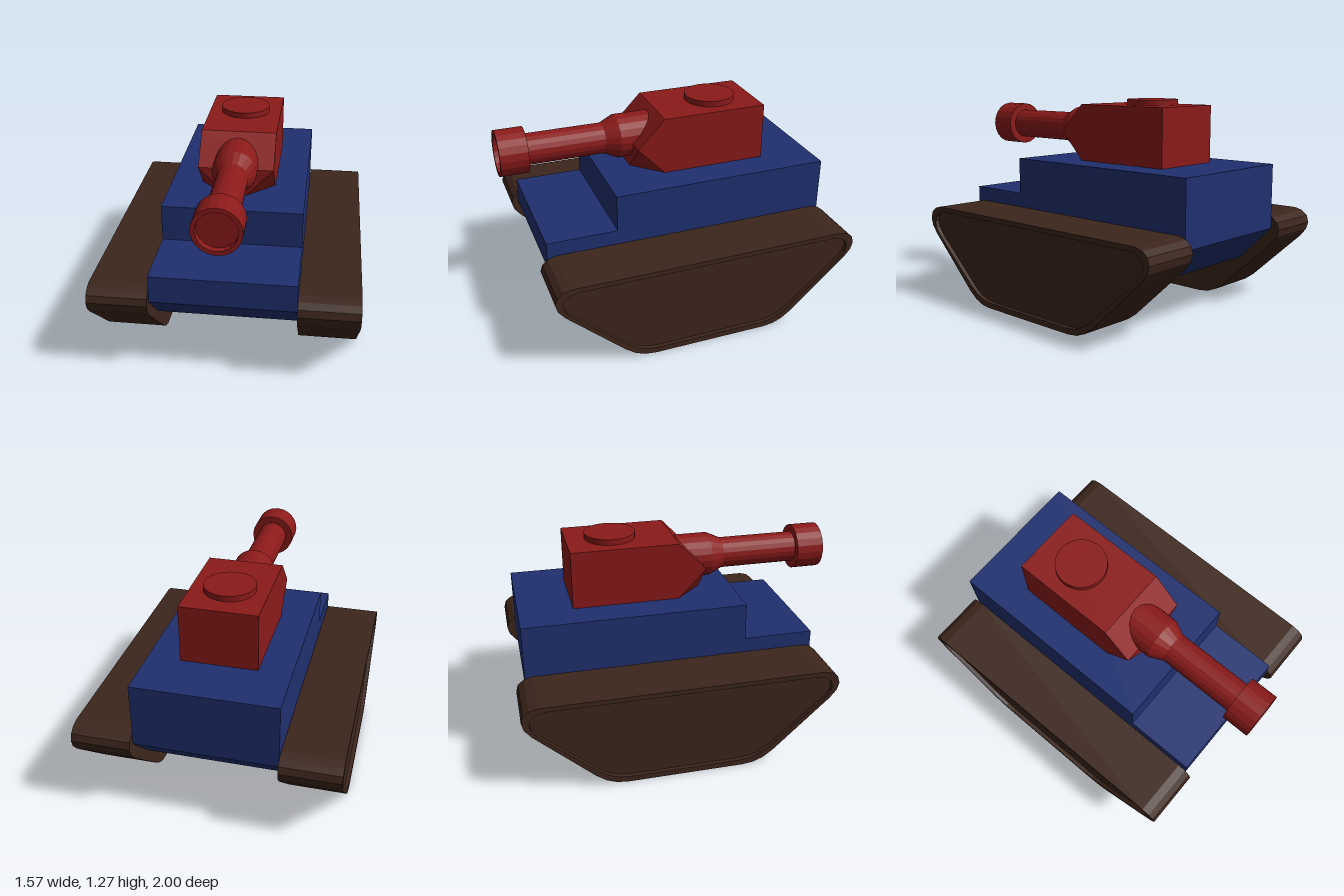
import * as THREE from 'three';
import { ConvexGeometry } from 'three/addons/geometries/ConvexGeometry.js';

const paint = (color) => new THREE.MeshStandardMaterial({ color, flatShading: true });
const RED = paint(0x8b1a1a), BLUE = paint(0x1f3070), BROWN = paint(0x3d261c);

// Extrude a side profile of [z, y] points across x, centred on x = 0
function sideExtrude(points, width, hole) {
  const toVec = ([z, y]) => new THREE.Vector2(-z, y);
  const shape = new THREE.Shape(points.map(toVec));
  if (hole) shape.holes.push(new THREE.Path(hole.map(toVec)));
  const geo = new THREE.ExtrudeGeometry(shape, { depth: width, bevelEnabled: false });
  return geo.translate(0, 0, -width / 2).rotateY(Math.PI / 2);
}

function add(parent, name, geometry, material, x = 0, y = 0, z = 0) {
  const mesh = new THREE.Mesh(geometry, material);
  mesh.name = name;
  mesh.position.set(x, y, z);
  parent.add(mesh);
  return mesh;
}

export function createModel() {
  const model = new THREE.Group();
  model.name = 'tank';

  // Hull with a stepped deck and sloped chin and tail
  add(model, 'hull', sideExtrude([
    [0.83, 0.495], [0.83, 0.665], [0.4, 0.665], [0.4, 0.89],
    [-0.945, 0.89], [-0.945, 0.495], [-0.73, 0.28], [0.61, 0.28],
  ], 0.85), BLUE);

  // Tracks: a rounded band around a recessed side panel
  const mid = -0.0625;
  const half = [
    [0.84, 0.575], [0.89, 0.562], [0.925, 0.533], [0.9375, 0.49], [0.925, 0.445],
    [0.885, 0.395], [0.54, 0.075], [0.48, 0.032], [0.42, 0.008], [0.35, 0],
  ];
  const outline = [
    ...half.map(([z, y]) => [mid + z, y]),
    ...half.slice().reverse().map(([z, y]) => [mid - z, y]),
  ];
  const inner = outline.map(([z, y]) => [mid + (z - mid) * 0.955, 0.31 + (y - 0.31) * 0.89]);
  for (const side of [1, -1]) {
    const track = new THREE.Group();
    track.name = side > 0 ? 'leftTrack' : 'rightTrack';
    add(track, 'trackBand', sideExtrude(outline, 0.356, inner), BROWN, side * 0.605);
    add(track, 'trackPanel', sideExtrude(inner, 0.33), BROWN, side * 0.592);
    model.add(track);
  }

  // Turret: box with a sloped brow and cut lower front corners
  const corners = [];
  for (const s of [1, -1]) {
    for (const [x, y, z] of [
      [0.23, 1.24, -0.62], [0.23, 0.89, -0.62], [0.23, 1.24, 0.03],
      [0.23, 1.065, 0.2], [0.23, 0.89, 0.03], [0.06, 0.89, 0.2],
    ]) corners.push(new THREE.Vector3(s * x, y, z));
  }
  add(model, 'turret', new ConvexGeometry(corners), RED);
  add(model, 'hatch', new THREE.CylinderGeometry(0.155, 0.155, 0.045, 32), RED, 0, 1.2525, -0.35);

  // Gun: mantlet, barrel and hollow muzzle turned as one profile along z
  const profile = [
    [0, 0], [0.135, 0], [0.135, 0.27], [0.095, 0.355], [0.095, 0.83],
    [0.14, 0.83], [0.14, 1], [0.115, 1], [0.115, 0.96], [0, 0.96],
  ].map(([r, z]) => new THREE.Vector2(r, z));
  const gun = new THREE.LatheGeometry(profile, 20).rotateX(Math.PI / 2);
  add(model, 'gun', gun, RED, 0, 1.075, 0);

  return model;
}
